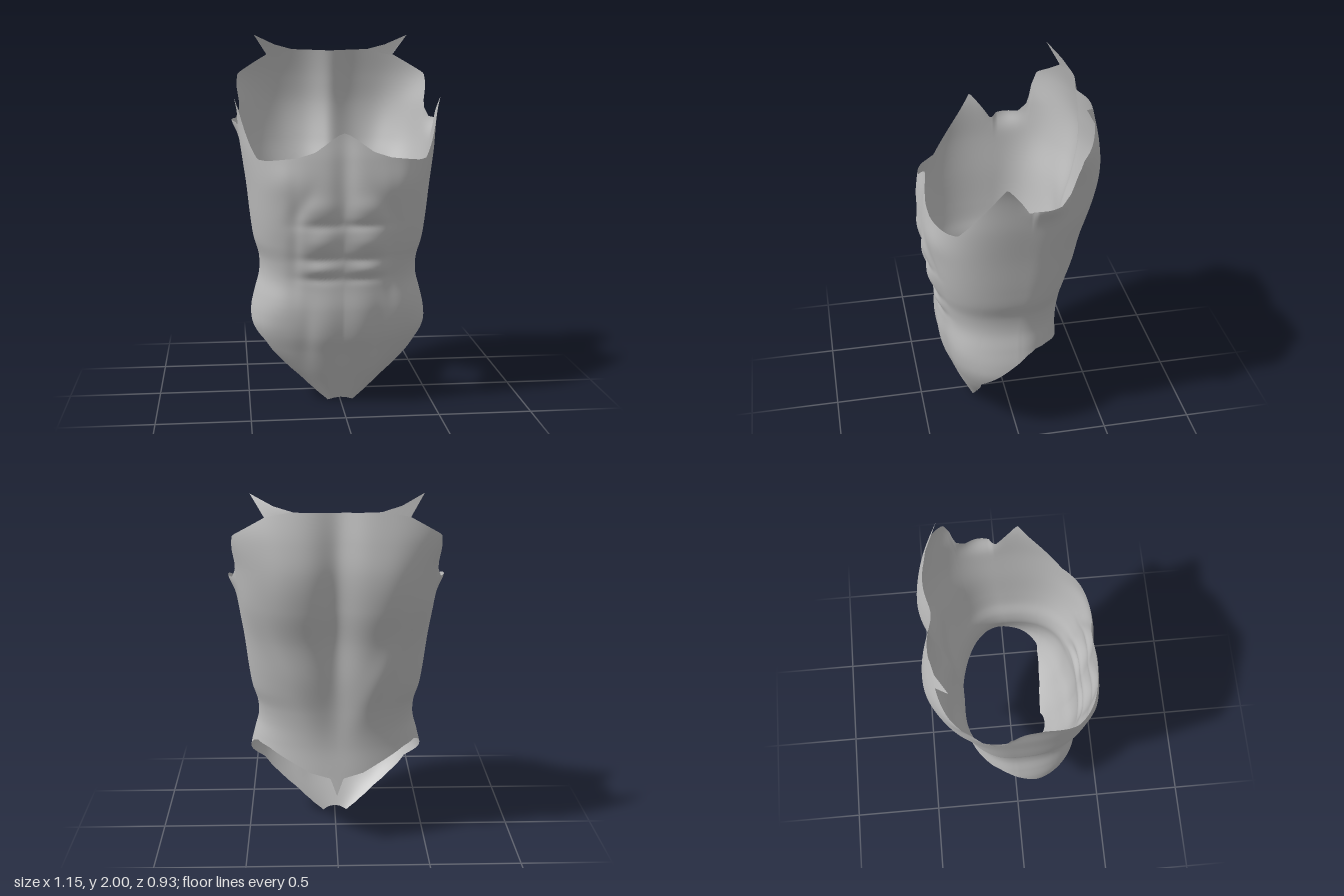
import * as THREE from 'three';

// Smooth curve through [position, value] pairs
function smooth(pairs) {
  const curve = new THREE.CubicInterpolant(pairs.map(p => p[0]), pairs.map(p => p[1]), 1);
  return v => curve.evaluate(v)[0];
}

// Straight-sided curve, for ragged edges
function ragged(pairs) {
  return v => {
    let i = 1;
    while (i < pairs.length - 1 && v > pairs[i][0]) i++;
    const [a, b] = [pairs[i - 1], pairs[i]];
    const k = THREE.MathUtils.clamp((v - a[0]) / (b[0] - a[0]), 0, 1);
    return a[1] + (b[1] - a[1]) * k;
  };
}

// Body profiles by height
const halfWidth = smooth([[0, 0.15], [0.1, 0.25], [0.2, 0.35], [0.3, 0.435], [0.42, 0.485], [0.5, 0.483], [0.6, 0.46],
  [0.7, 0.435], [0.8, 0.437], [0.9, 0.465], [1, 0.48], [1.2, 0.502], [1.4, 0.53], [1.6, 0.55], [1.8, 0.6], [2, 0.57]]);
const front = smooth([[0, 0.21], [0.1, 0.25], [0.2, 0.29], [0.3, 0.325], [0.4, 0.36], [0.55, 0.385], [0.7, 0.388],
  [0.8, 0.405], [0.9, 0.425], [1, 0.445], [1.2, 0.463], [1.36, 0.452], [1.5, 0.43], [2, 0.42]]);
const back = smooth([[0.3, 0.3], [0.45, 0.29], [0.6, 0.285], [0.8, 0.31], [1, 0.35], [1.2, 0.385], [1.4, 0.44],
  [1.6, 0.468], [1.75, 0.455], [1.9, 0.425], [2, 0.4]]);
const middle = smooth([[0, 0], [0.6, 0], [1, -0.025], [1.4, -0.05], [2, -0.05]]);
const frontSquare = smooth([[0, 2.5], [0.4, 2.5], [1.2, 3], [2, 3]]);
const backSquare = smooth([[0, 2], [0.6, 2.05], [1.1, 2.4], [1.6, 2.8], [2, 2.8]]);
const spineDepth = smooth([[0.3, 0], [0.6, 0.012], [0.8, 0.03], [1.05, 0.052], [1.4, 0.065], [1.7, 0.055], [2, 0.03]]);

// Edges by angle from the front centre
const topEdge = ragged([[0, 1.5], [0.06, 1.49], [0.14, 1.465], [0.3, 1.405], [0.47, 1.375], [0.773, 1.355], [0.885, 1.36],
  [1.01, 1.44], [1.197, 1.57], [1.33, 1.67], [1.45, 1.58], [1.534, 1.51], [1.6, 1.535], [1.82, 1.54], [1.92, 1.6],
  [1.95, 1.7], [2, 1.78], [2.126, 1.82], [2.32, 1.89], [2.56, 1.918], [Math.PI, 1.91]]);
const bottomEdge = ragged([[0, 0.02], [0.15, 0.015], [0.337, 0], [0.55, 0.045], [0.733, 0.1], [0.95, 0.2], [1.086, 0.3],
  [1.117, 0.35], [1.295, 0.42], [1.507, 0.5], [1.68, 0.56], [1.8, 0.58], [2.01, 0.565], [2.38, 0.5], [2.66, 0.45],
  [3.02, 0.42], [Math.PI, 0.32]]);

const bell = (v, centre, width) => Math.exp(-(((v - centre) / width) ** 2));

// Muscle relief, x is the distance from the centre line
function relief(x, y, angle) {
  if (angle > Math.PI / 2) {
    const blade = 0.012 * bell(x, 0.27 + (y - 1.5) * 0.15, 0.1) * bell(y, 1.5, 0.25);
    const lat = 0.012 * bell(x, 0.12 + (y - 0.75) * 0.42, 0.07) * bell(y, 1.05, 0.25);
    const flare = 0.035 * bell(angle, 1.68, 0.17) * bell(y, 1.54, 0.07);
    return blade + lat + flare - spineDepth(y) * bell(x, 0, 0.11);
  }
  let d = -0.018 * bell(x, 0, 0.06) * bell(y, 1.25, 0.3);
  for (const [cy, h, amount] of [[1.11, 0.06, 0.011], [0.925, 0.06, 0.017], [0.775, 0.035, 0.012]])
    d += amount * bell(x, 0.12, 0.085) * bell(y, cy, h);
  for (const cy of [1.02, 0.835, 0.725]) d -= 0.009 * bell(x, 0.1, 0.12) * bell(y, cy, 0.025);
  d -= 0.008 * bell(x, 0.26, 0.035) * bell(y, 0.9, 0.3);
  d += 0.01 * bell(x, 0.08, 0.08) * bell(y, 0.48, 0.2) - 0.008 * bell(x, 0.2, 0.05) * bell(y, 0.42, 0.2);
  d += 0.01 * bell(x, 0.3, 0.1) * bell(y, 1.25, 0.09);
  d -= 0.008 * bell(x, 0.2 + (1.18 - y) * 0.45, 0.05) * bell(y, 1.1, 0.1);
  d += 0.008 * bell(x, 0.36, 0.08) * bell(y, 0.55, 0.12);
  return d + 0.028 * bell(angle, 1.68, 0.12) * bell(y, 1.54, 0.06);
}

// Point on the body at a signed angle and a height
function bodyPoint(signed, y) {
  const a = Math.abs(signed), s = Math.sin(a), c = Math.cos(a), zc = middle(y);
  const n = c > 0 ? frontSquare(y) : backSquare(y);
  const depth = c > 0 ? front(y) - zc : back(y) + zc;
  let r = ((Math.abs(s) / halfWidth(y)) ** n + (Math.abs(c) / depth) ** n) ** (-1 / n);
  r += relief(r * Math.abs(s), y, a);
  return [Math.sign(signed) * r * s, y, zc + r * c];
}

function gridGeometry(points, columns, rows, wrap) {
  const index = [], stride = rows + 1;
  for (let i = 0; i < columns; i++) {
    const a = i * stride, b = (wrap ? (i + 1) % columns : i + 1) * stride;
    for (let j = 0; j < rows; j++) index.push(a + j, b + j, b + j + 1, a + j, b + j + 1, a + j + 1);
  }
  const g = new THREE.BufferGeometry();
  g.setAttribute('position', new THREE.Float32BufferAttribute(points.flat(), 3));
  g.setIndex(index);
  g.computeVertexNormals();
  return g;
}

export function createModel() {
  const model = new THREE.Group();
  model.name = 'torsoShell';
  const grey = new THREE.MeshStandardMaterial({ color: 0xbcbcbc, side: THREE.DoubleSide });
  grey.name = 'plainGrey';
  const add = (name, geometry) => {
    const mesh = new THREE.Mesh(geometry, grey);
    mesh.name = name;
    model.add(mesh);
  };

  // Open torso skin, between its lower and upper edges
  const columns = 280, rows = 110, points = [];
  for (let i = 0; i < columns; i++) {
    const angle = -Math.PI + (i / columns) * Math.PI * 2, a = Math.abs(angle);
    const low = bottomEdge(a), high = topEdge(a);
    for (let j = 0; j <= rows; j++) points.push(bodyPoint(angle, low + (high - low) * j / rows));
  }
  add('torso', gridGeometry(points, columns, rows, true));

  // Pointed shoulder tips that lean outward from the back's upper edge
  const tipTop = [[2.32, 1.885], [2.13, 2], [2.38, 1.945], [2.6, 1.917]];
  const tipBase = [[2.32, 1.885], [2.34, 1.885], [2.42, 1.893], [2.6, 1.915]];
  for (const side of [1, -1]) {
    const tip = [];
    const order = side > 0 ? [0, 1, 2, 3] : [3, 2, 1, 0];
    for (const i of order) for (let j = 0; j <= 4; j++) {
      const [p, q, k] = [tipBase[i], tipTop[i], j / 4];
      tip.push(bodyPoint(side * (p[0] + (q[0] - p[0]) * k), p[1] + (q[1] - p[1]) * k));
    }
    add(side > 0 ? 'leftShoulderTip' : 'rightShoulderTip', gridGeometry(tip, 3, 4, false));
  }
  return model;
}
